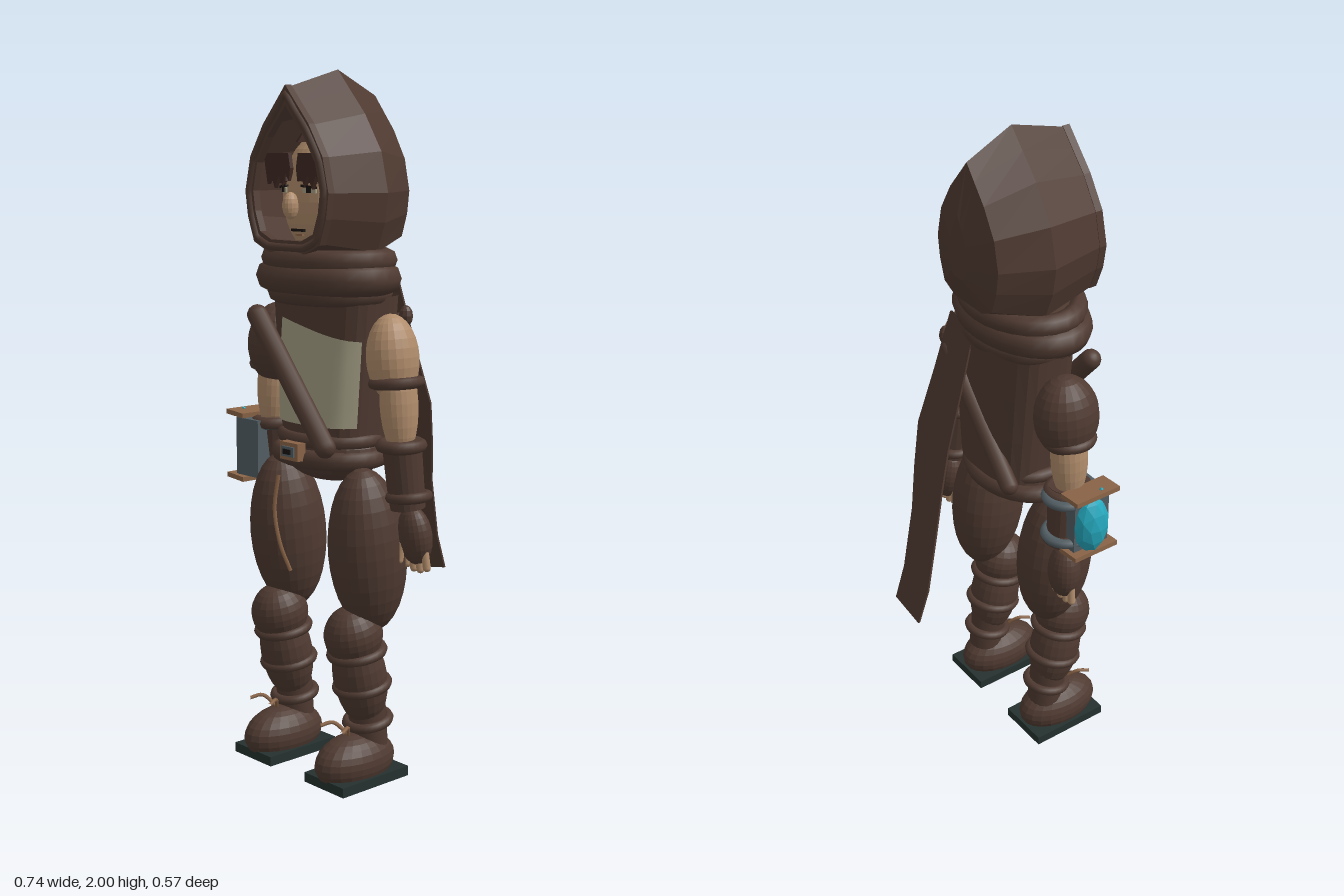
import * as THREE from 'three';

const mat = (name, color, side = THREE.FrontSide) =>
  Object.assign(new THREE.MeshStandardMaterial({ color, side }), { name });
const M = {
  brown: mat('brown cloth', 0x4f3a31, THREE.DoubleSide),
  hair: mat('dark hair', 0x3f2923, THREE.DoubleSide),
  skin: mat('skin', 0xb08c6b),
  panel: mat('linen', 0xa5a086, THREE.DoubleSide),
  tan: mat('tan leather', 0x8a6447),
  steel: mat('steel', 0x525e64),
  crystal: mat('crystal', 0x25a7bc),
  sole: mat('sole rubber', 0x25312f),
  dark: mat('dark', 0x17120f),
};
const CX = 0.015; // centre line of the body

// Facets a geometry so every face is flat
function flat(geo) {
  const g = geo.index ? geo.toNonIndexed() : geo;
  g.computeVertexNormals();
  return g;
}

// Joins equal-length cross-section loops into a skin
function loft(rings) {
  const n = rings[0].length, pos = rings.flat(2), idx = [];
  for (let r = 0; r < rings.length - 1; r++) {
    for (let i = 0; i < n; i++) {
      const a = r * n + i, b = r * n + (i + 1) % n;
      idx.push(a, b, a + n, b, b + n, a + n);
    }
  }
  const g = new THREE.BufferGeometry();
  g.setAttribute('position', new THREE.Float32BufferAttribute(pos, 3));
  g.setIndex(idx);
  return flat(g);
}

export function createModel() {
  const root = new THREE.Group();
  root.name = 'hoodedTraveller';
  const add = (name, geo, m, p = [0, 0, 0], rot = [0, 0, 0]) => {
    const mesh = new THREE.Mesh(geo, m);
    mesh.name = name;
    mesh.position.set(...p);
    mesh.rotation.set(...rot);
    root.add(mesh);
    return mesh;
  };
  const ball = (name, m, p, r, rot, seg = 22) =>
    add(name, flat(new THREE.SphereGeometry(1, seg, Math.ceil(seg * 0.6)).scale(...r)), m, p, rot);
  const ring = (name, m, p, rx, rz, t, rot) =>
    add(name, new THREE.TorusGeometry(rx, t, 8, 28).rotateX(Math.PI / 2).scale(1, 1, rz / rx), m, p, rot);
  const box = (name, m, p, s, rot) => add(name, new THREE.BoxGeometry(...s), m, p, rot);
  const tube = (name, m, pts, r) => add(name, new THREE.TubeGeometry(
    new THREE.CatmullRomCurve3(pts.map(q => new THREE.Vector3(...q))), 12, r, 6), m);
  const rod = (name, m, a, b, r) => {
    const A = new THREE.Vector3(...a), B = new THREE.Vector3(...b), d = B.clone().sub(A);
    const mesh = add(name, new THREE.CapsuleGeometry(r, d.length(), 5, 12), m);
    mesh.position.copy(A).add(B).multiplyScalar(0.5);
    mesh.quaternion.setFromUnitVectors(new THREE.Vector3(0, 1, 0), d.normalize());
  };

  // Hood: pointed oval, scaled along z
  const half = [[0, 0.32], [0.05, 0.265], [0.11, 0.2], [0.175, 0.1], [0.202, -0.01], [0.19, -0.09], [0.16, -0.17], [0.09, -0.2]];
  const oval = [...half, ...half.slice(1).reverse().map(([x, y]) => [-x, y])];
  const section = (z, sx, sy) => oval.map(([x, y]) => [CX + x * sx, 1.68 + y * sy, z]);
  add('hood', loft([section(0.245, 0.84, 0.84), section(0.065, 1, 1), section(-0.075, 0.69, 0.79),
    section(-0.106, 0.2, 0.35), section(-0.106, 0.001, 0.001)]), M.brown);
  const path = s => oval.map(([x, y]) => new THREE.Vector2(x * s, y * s));
  const rim = new THREE.Shape(path(0.86));
  rim.holes.push(new THREE.Path(path(0.69)));
  add('hoodRim', new THREE.ExtrudeGeometry(rim, { depth: 0.022, bevelEnabled: false }), M.brown, [CX, 1.68, 0.232]);
  const edge = new THREE.CatmullRomCurve3(path(0.78).map(v => new THREE.Vector3(v.x, v.y, 0)), true, 'catmullrom', 0.2);
  add('hoodHem', new THREE.TubeGeometry(edge, 60, 0.012, 6, true), M.brown, [CX, 1.68, 0.25]);

  // Head and face
  ball('head', M.skin, [CX, 1.66, 0.12], [0.118, 0.17, 0.105], undefined, 28);
  const faceZ = (x, y) => 0.12 + 0.105 * Math.sqrt(Math.max(0, 1 - (x / 0.118) ** 2 - ((y - 1.66) / 0.17) ** 2));
  ball('nose', M.skin, [CX, 1.635, 0.237], [0.02, 0.037, 0.025], undefined, 14);
  for (const s of [-1, 1]) {
    const x = s * 0.052, z = faceZ(x, 1.68);
    box('eyeWhite', M.panel, [CX + x, 1.676, z], [0.04, 0.014, 0.008], [0, s * 0.35, 0]);
    box('iris', M.dark, [CX + x, 1.677, z + 0.003], [0.014, 0.014, 0.008], [0, s * 0.35, 0]);
    box('eyelid', M.dark, [CX + x, 1.686, z + 0.003], [0.046, 0.006, 0.009], [0, s * 0.35, -s * 0.1]);
    box('eyebrow', M.hair, [CX + x, 1.702, z + 0.003], [0.05, 0.01, 0.009], [0, s * 0.35, -s * 0.15]);
  }
  box('mouth', M.dark, [CX, 1.568, faceZ(0, 1.568) + 0.002], [0.05, 0.007, 0.008]);
  box('lowerLip', M.tan, [CX, 1.555, faceZ(0, 1.555) + 0.002], [0.028, 0.005, 0.008]);
  // Jagged fringe, one lock pattern mirrored
  for (const s of [-1, 1]) {
    const lock = new THREE.Shape([[0.012, 1.735], [0.02, 1.775], [0.125, 1.775], [0.108, 1.69], [0.092, 1.715],
      [0.078, 1.68], [0.06, 1.715], [0.045, 1.685], [0.032, 1.72], [0.018, 1.7]]
      .map(([x, y]) => new THREE.Vector2(s * x, y)));
    add('fringe', new THREE.ExtrudeGeometry(lock, { depth: 0.012, bevelEnabled: false }), M.hair, [CX, 0, 0.216]);
  }
  add('topTuft', flat(new THREE.ConeGeometry(0.07, 0.09, 5)), M.hair, [CX, 1.85, 0.14]);

  // Rolled scarf around the neck
  ring('scarfTop', M.brown, [0.02, 1.487, 0.105], 0.185, 0.14, 0.032);
  ring('scarfMiddle', M.brown, [0.02, 1.437, 0.108], 0.198, 0.138, 0.042);
  ring('scarfBottom', M.brown, [0.018, 1.395, 0.1], 0.17, 0.13, 0.03);
  add('neck', new THREE.CylinderGeometry(0.16, 0.16, 0.13, 24).scale(1, 1, 0.78), M.brown, [CX, 1.44, 0.1]);

  // Scarf tail hanging behind: x left, x right, y, z
  const tail = [[0.05, 0.16, 1.4, -0.03], [0.04, 0.17, 1.23, -0.08], [0.035, 0.187, 1.055, -0.13], [0.02, 0.16, 0.93, -0.165],
    [0, 0.125, 0.81, -0.2], [-0.025, 0.1, 0.635, -0.25], [-0.022, 0.1, 0.53, -0.283]];
  add('scarfTail', loft(tail.map(([a, b, y, z]) =>
    [[a, y, z], [b, y + 0.02, z], [b, y + 0.02, z - 0.006], [a, y, z - 0.006]])), M.brown);

  // Torso with a squarish oval section
  const torsoHalf = y => 0.15 + 0.042 * (y - 0.98) / 0.4;
  const depthAt = u => 0.12 * Math.cbrt(1 - Math.min(Math.abs(u), 0.97) ** 3);
  const torso = [1.39, 1.26, 1.12, 0.97].map(y => Array.from({ length: 32 }, (_, i) => {
    const a = i / 32 * Math.PI * 2, c = Math.cos(a), s = Math.sin(a);
    const k = (Math.abs(c) ** 3 + Math.abs(s) ** 3) ** (-1 / 3);
    return [CX + c * k * torsoHalf(y), y, 0.075 + s * k * 0.12];
  }));
  add('torso', loft(torso), M.brown);

  // Linen chest panel following the torso
  const panel = new THREE.PlaneGeometry(1, 1, 14, 4), pp = panel.attributes.position;
  for (let i = 0; i < pp.count; i++) {
    const u = pp.getX(i) + 0.5, v = pp.getY(i) + 0.5;
    const x = THREE.MathUtils.lerp(-0.11 + 0.04 * v, 0.17 + 0.02 * v, u), y = 1.03 + v * (0.295 - 0.055 * u);
    pp.setXYZ(i, x, y, 0.082 + depthAt((x - CX) / torsoHalf(y)));
  }
  panel.computeVertexNormals();
  add('chestPanel', panel, M.panel);
  rod('frontStrap', M.brown, [-0.15, 1.325, 0.222], [0.14, 0.985, 0.226], 0.03);
  rod('backStrap', M.brown, [0.15, 1.31, -0.045], [-0.13, 0.99, -0.04], 0.026);
  ball('strapKnot', M.brown, [0.185, 1.33, -0.035], [0.02, 0.03, 0.02], undefined, 10);

  // Hips, belt and buckle
  ball('hips', M.brown, [CX, 0.95, 0.09], [0.165, 0.09, 0.125]);
  ring('beltUpper', M.brown, [0.01, 0.988, 0.09], 0.153, 0.12, 0.02);
  ring('beltLower', M.brown, [0.006, 0.937, 0.09], 0.165, 0.125, 0.027);
  box('buckle', M.tan, [CX, 0.96, 0.235], [0.075, 0.05, 0.03]);
  box('buckleCentre', M.steel, [CX, 0.96, 0.252], [0.05, 0.028, 0.008]);
  box('buckleSlot', M.dark, [CX, 0.96, 0.257], [0.03, 0.014, 0.006]);

  // Legs: thigh x, shin x, foot x
  for (const [side, tx, sx, fx] of [['right', -0.145, -0.143, -0.142], ['left', 0.195, 0.177, 0.172]]) {
    ball(side + 'Thigh', M.brown, [tx, 0.69, 0.118], [0.104, 0.235, 0.115], [0.1, 0, 0], 26);
    ball(side + 'Knee', M.brown, [sx, 0.45, 0.155], [0.08, 0.085, 0.086], [0.2, 0, 0]);
    ball(side + 'Calf', M.brown, [sx, 0.325, 0.13], [0.077, 0.15, 0.076], [0.2, 0, 0]);
    add(side + 'Ankle', new THREE.CylinderGeometry(0.055, 0.052, 0.16, 18), M.brown, [sx, 0.19, 0.1], [0.1, 0, 0]);
    [[0.4, 0.142, 0.073], [0.3, 0.122, 0.072], [0.19, 0.1, 0.06]].forEach(([y, z, r]) =>
      ring(side + 'LegWrap', M.brown, [sx, y, z], r, r, 0.014, [0.18, 0, 0]));
    ball(side + 'Shoe', M.brown, [fx, 0.08, 0.145], [0.08, 0.08, 0.135]);
    box(side + 'Sole', M.sole, [fx, 0.035, 0.138], [0.164, 0.028, 0.25]);
    for (const d of [-1, 1]) {
      tube(side + 'Lace', M.tan, [[fx, 0.16, 0.17], [fx + d * 0.03, 0.195, 0.2], [fx + d * 0.045, 0.19, 0.235]], 0.006);
    }
  }
  tube('thighCord', M.tan, [[-0.06, 0.88, 0.225], [-0.07, 0.78, 0.232], [-0.055, 0.68, 0.225], [-0.04, 0.6, 0.2]], 0.006);

  // Arms: shoulder, elbow and hand x
  for (const [side, s, shx, elx, hx] of [['right', -1, -0.222, -0.237, -0.278], ['left', 1, 0.258, 0.288, 0.312]]) {
    const bare = s > 0;
    ball(side + 'Shoulder', bare ? M.skin : M.brown, [shx, 1.23, 0.085],
      bare ? [0.069, 0.12, 0.076] : [0.085, 0.12, 0.095], [0, 0, s * 0.1]);
    ball(side + 'UpperArm', M.skin, [(shx + elx) / 2 + s * 0.01, 1.11, 0.085], [0.05, 0.15, 0.055], [0, 0, s * 0.08]);
    ring(side + 'ArmBand', M.brown, [shx + s * 0.015, 1.165, 0.085], 0.062, 0.062, 0.016, [0, 0, s * 0.08]);
    ring(side + 'ElbowBand', M.brown, [elx + s * 0.005, 0.995, 0.085], 0.05, 0.055, 0.018);
    add(side + 'Bracer', flat(new THREE.CylinderGeometry(0.055, 0.05, 0.19, 20)), M.brown,
      [elx + s * 0.008, 0.915, 0.075], [0.08, 0, s * 0.05]);
    ring(side + 'WristBand', M.brown, [elx + s * 0.014, 0.852, 0.065], 0.052, 0.052, 0.015, [0, 0, s * 0.08]);
    ball(side + 'Glove', M.brown, [hx, 0.742, 0.05], [0.052, 0.083, 0.045], [0.1, 0, s * 0.1]);
    for (let i = 0; i < 4; i++) {
      const fx = hx + (i - 1.5) * 0.025;
      rod(side + 'Finger', M.skin, [fx, 0.7, 0.048], [fx + s * 0.006, 0.645 + 0.008 * Math.abs(i - 1.5), 0.046], 0.011);
    }
    rod(side + 'Thumb', M.skin, [hx - s * 0.02, 0.72, 0.08], [hx - s * 0.025, 0.675, 0.085], 0.012);
  }

  // Crystal device on the right bracer
  box('deviceBody', M.steel, [-0.275, 0.92, 0.105], [0.1, 0.17, 0.12]);
  for (const y of [0.828, 1.018]) {
    box('devicePlate', M.tan, [-0.315, y, 0.105], [0.075, 0.014, 0.15], [0, 0, -0.08]);
    ball('plateStud', M.crystal, [-0.332, y + 0.008, 0.13], [0.006, 0.006, 0.006], undefined, 8);
    ring('deviceClamp', M.steel, [-0.255, y + (y < 0.9 ? 0.03 : -0.03), 0.075], 0.06, 0.065, 0.014);
  }
  add('crystal', flat(new THREE.IcosahedronGeometry(1, 1).scale(0.045, 0.092, 0.055)), M.crystal, [-0.33, 0.92, 0.098]);

  return root;
}
